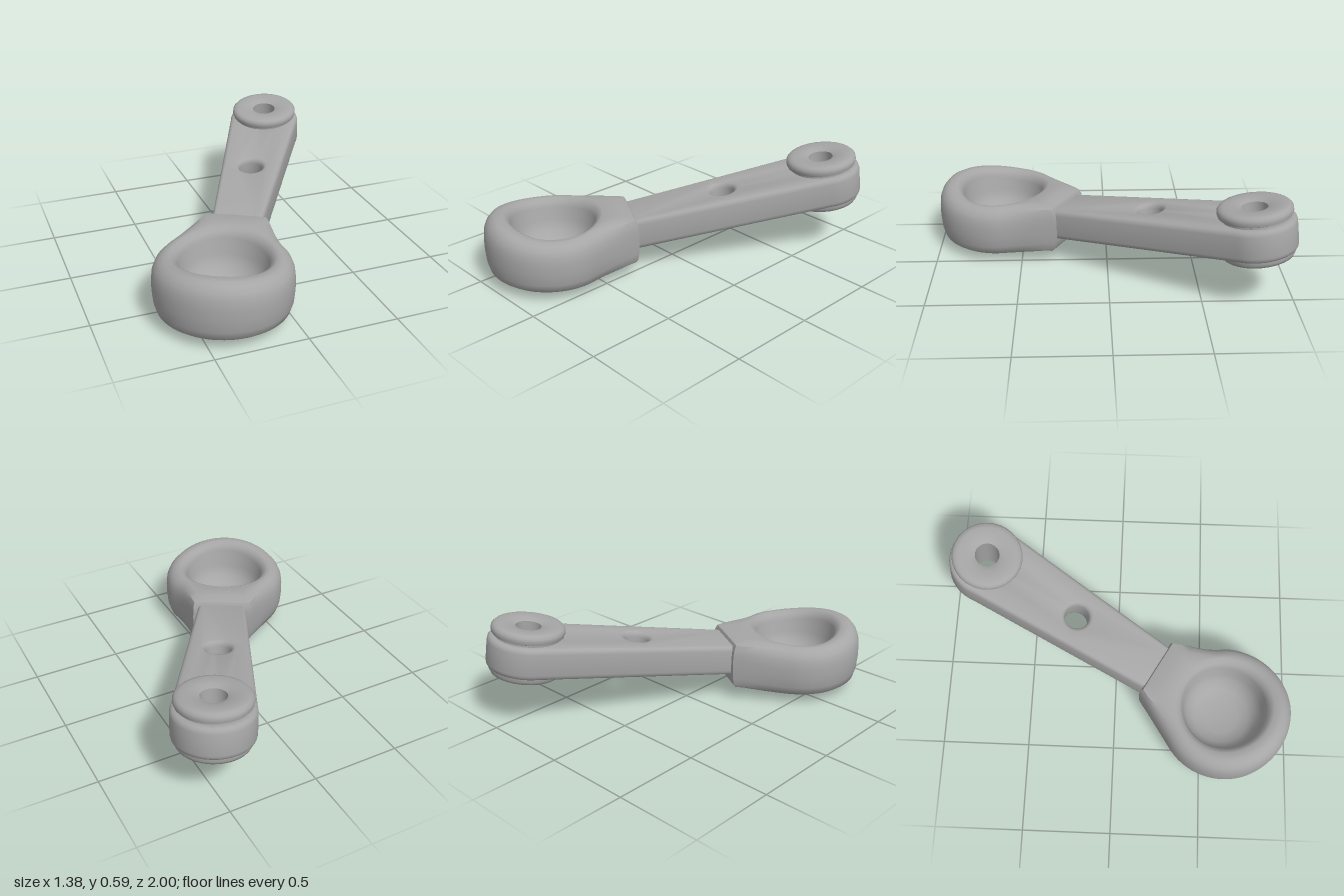
import * as THREE from 'three';
import { toCreasedNormals } from 'three/addons/utils/BufferGeometryUtils.js';

const grey = new THREE.MeshStandardMaterial({ color: 0xa6a6a6 });
grey.name = 'grey';

function part(name, geometry, crease = 0.7) {
  const mesh = new THREE.Mesh(toCreasedNormals(geometry, crease), grey);
  mesh.name = name;
  return mesh;
}

// Plan outline of the cup: a circle drawn out into a flat-ended neck along +x
const R = 0.37, NECK = 0.47, CORNER = Math.PI / 9;
function outline(phi) {
  const a = Math.abs(phi);
  const tip = NECK / Math.cos(CORNER);
  const tangent = CORNER + Math.acos(R / tip);
  if (a <= CORNER + 1e-6) return NECK / Math.cos(a);
  if (a < tangent) return R / Math.cos(tangent - a) - (phi > 0 ? 0.012 * Math.sin(Math.PI * (a - CORNER) / (tangent - CORNER)) : 0);
  return R;
}

// Cup: rings from the underside, up the wall, over the rim and down into the bowl
function cupGeometry() {
  const outer = [ // [share of outline, share of height]
    [0.001, 0], [0.5, 0.075], [0.9, 0.16], [0.95, 0.2], [0.985, 0.32], [1, 0.5],
    [1, 0.66], [0.985, 0.8], [0.95, 0.89], [0.89, 0.96], [0.82, 0.995],
  ];
  const inner = [ // [radius, height, 1 = relative to the rim]
    [0.275, 0, 1], [0.25, -0.015, 1], [0.235, -0.05, 1], [0.225, 0.22, 0],
    [0.2, 0.165, 0], [0.16, 0.125, 0], [0.1, 0.105, 0], [0.001, 0.1, 0],
  ];
  const N = 72, pos = [], index = [];
  const rows = outer.length + inner.length;
  for (let i = 0; i < rows; i++) {
    for (let j = 0; j < N; j++) {
      let phi = j / N * Math.PI * 2;
      if (phi > Math.PI) phi -= Math.PI * 2;
      const c = Math.cos(phi), r0 = outline(phi);
      const top = 0.337 + (c < 0 ? 0.04 : 0.023) * c * c;
      const neck = THREE.MathUtils.clamp((r0 - R) / 0.1, 0, 1);
      let r, y, shift = 0;
      if (i < outer.length) {
        const [f, h] = outer[i];
        r = r0 * (f < 0.85 ? f : 1 - (1 - f) * (1 - 0.6 * neck));
        y = top * h + neck * 0.035 * f * (1 - h);
      } else {
        const [f, h, rel] = inner[i - outer.length];
        r = f;
        y = rel ? top + h : h;
        shift = 0.015;
      }
      pos.push(r * c + shift, y, r * Math.sin(phi));
      if (i < rows - 1) {
        const a = i * N + j, b = i * N + (j + 1) % N;
        index.push(a, a + N, b, b, a + N, b + N);
      }
    }
  }
  const g = new THREE.BufferGeometry();
  g.setAttribute('position', new THREE.Float32BufferAttribute(pos, 3));
  g.setIndex(index);
  return g;
}

// Arm: tapered plate with a round head and two holes
const PIVOT = 1.63;
function armGeometry() {
  const s = new THREE.Shape();
  s.moveTo(0.4, -0.138);
  s.lineTo(1.0, -0.176);
  s.absarc(PIVOT, 0, 0.218, -1.75, 1.75, false);
  s.lineTo(1.0, 0.176);
  s.lineTo(0.4, 0.138);
  s.closePath();
  for (const [x, r] of [[1.015, 0.07], [PIVOT, 0.08]]) {
    const hole = new THREE.Path();
    hole.absarc(x, 0, r, 0, Math.PI * 2, true);
    s.holes.push(hole);
  }
  const g = new THREE.ExtrudeGeometry(s, {
    depth: 0.12, bevelThickness: 0.03, bevelSize: 0.025, bevelOffset: -0.025,
    bevelSegments: 3, curveSegments: 14,
  });
  // The bevel must not widen the holes much, so centre the plate on its mid-plane
  return g.translate(0, 0, -0.06).rotateX(-Math.PI / 2);
}

// Flanged bushing: a disc above and below the head with a bore through it
function bushingGeometry() {
  const profile = [
    [0.07, -0.118], [0.085, -0.13], [0.17, -0.13], [0.19, -0.122], [0.2, -0.105], [0.2, -0.08],
    [0.185, -0.07], [0.12, -0.07], [0.12, 0.07], [0.18, 0.085], [0.18, 0.1], [0.197, 0.108],
    [0.202, 0.125], [0.2, 0.142], [0.188, 0.155], [0.165, 0.16], [0.1, 0.158],
    [0.07, 0.145], [0.07, -0.118],
  ].map(([x, y]) => new THREE.Vector2(x, y));
  return new THREE.LatheGeometry(profile, 28);
}

export function createModel() {
  const model = new THREE.Group();
  model.name = 'cupLever';

  // Everything is laid out along +x, then turned to its diagonal pose
  const lever = new THREE.Group();
  lever.name = 'lever';
  lever.position.set(-0.32, 0, 0.63);
  lever.rotation.y = THREE.MathUtils.degToRad(60.6);
  lever.add(part('cup', cupGeometry(), 0.8));

  // The arm climbs gently away from the cup
  const arm = new THREE.Group();
  arm.name = 'armAssembly';
  arm.position.y = 0.173;
  arm.rotation.z = 0.142;
  arm.add(part('arm', armGeometry()));
  const bushing = part('bushing', bushingGeometry(), 0.8);
  bushing.position.x = PIVOT;
  arm.add(bushing);
  lever.add(arm);

  model.add(lever);
  return model;
}
